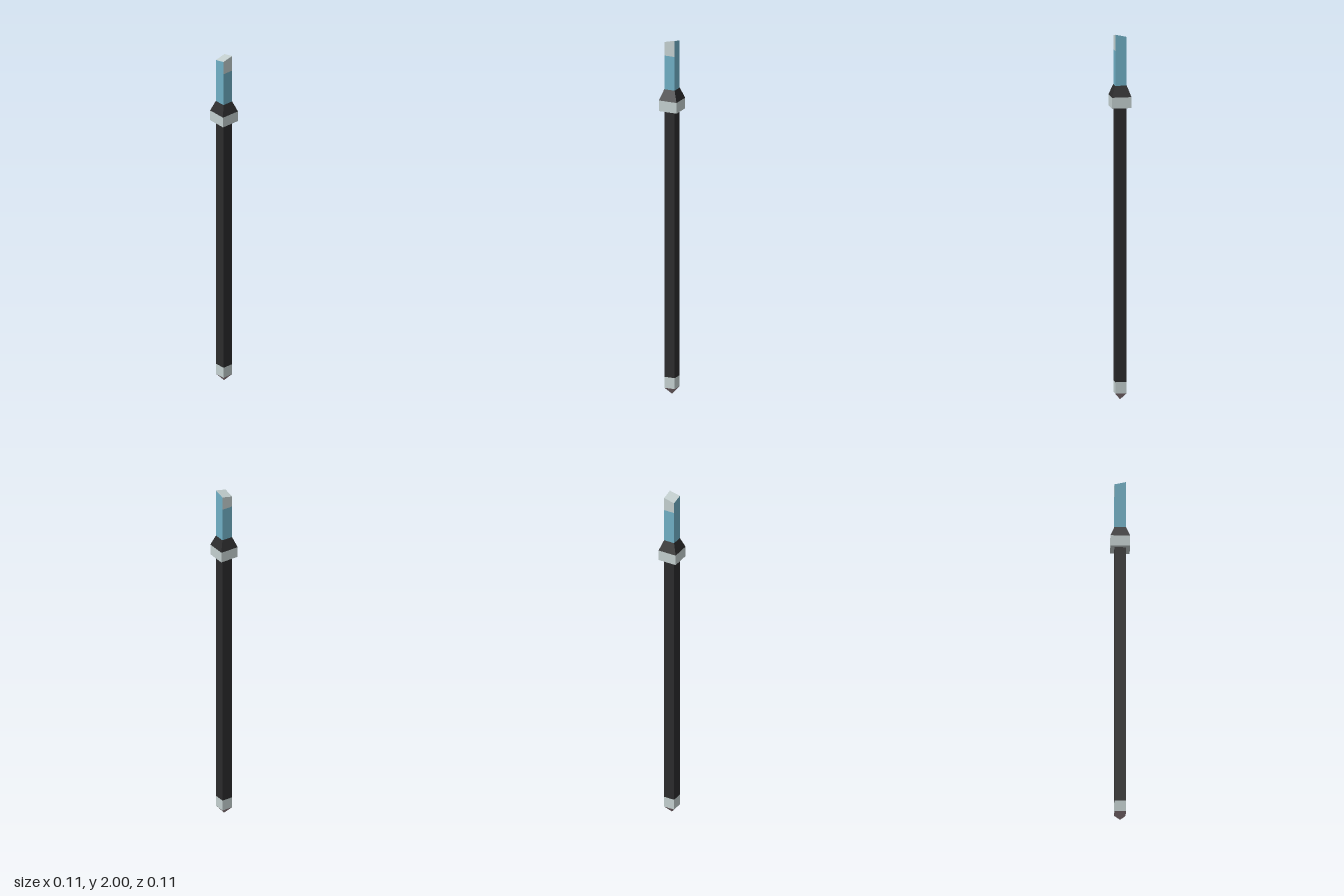
import * as THREE from 'three';

export function createModel() {
  const group = new THREE.Group();
  const mat = (name, color) => {
    const m = new THREE.MeshStandardMaterial({ color, flatShading: true });
    m.name = name;
    return m;
  };
  const dark = mat('black grip', 0x2b2b2c);
  const metal = mat('pale metal', 0xc4d0d0);
  const blue = mat('blue blade', 0x70b0c6);
  const mauve = mat('mauve tip', 0x98848a);

  // Square section running from half-width r0 at y0 to r1 at y1
  const prism = (name, material, y0, y1, r0, r1 = r0) => {
    const s = Math.SQRT2;
    const geo = new THREE.CylinderGeometry(r1 * s, r0 * s, y1 - y0, 4);
    geo.rotateY(Math.PI / 4).translate(0, (y0 + y1) / 2, 0);
    const mesh = new THREE.Mesh(geo, material);
    mesh.name = name;
    group.add(mesh);
  };

  const R = 0.031, C = 0.053;
  prism('tip', mauve, 0, 0.038, 0, R);
  prism('endCap', metal, 0.038, 0.1, R);
  prism('shaft', dark, 0.1, 1.6, R);
  prism('collar', metal, 1.6, 1.66, C);
  prism('collarTaper', dark, 1.66, 1.72, C, R);
  prism('bladeBase', blue, 1.72, 1.91, R);

  // Blade end: metal sides and top, top slanting up to the back left corner
  const geo = new THREE.BoxGeometry(2 * R, 0.075, 2 * R);
  geo.translate(0, 1.91 + 0.0375, 0);
  const p = geo.attributes.position;
  for (let i = 0; i < p.count; i++) {
    if (p.getY(i) > 1.95) p.setY(i, 1.986 + 0.007 * (Math.sign(p.getX(i)) - Math.sign(p.getZ(i))));
  }
  geo.computeVertexNormals();
  const end = new THREE.Mesh(geo, [metal, metal, metal, blue, blue, blue]);
  end.name = 'bladeEnd';
  group.add(end);

  return group;
}
